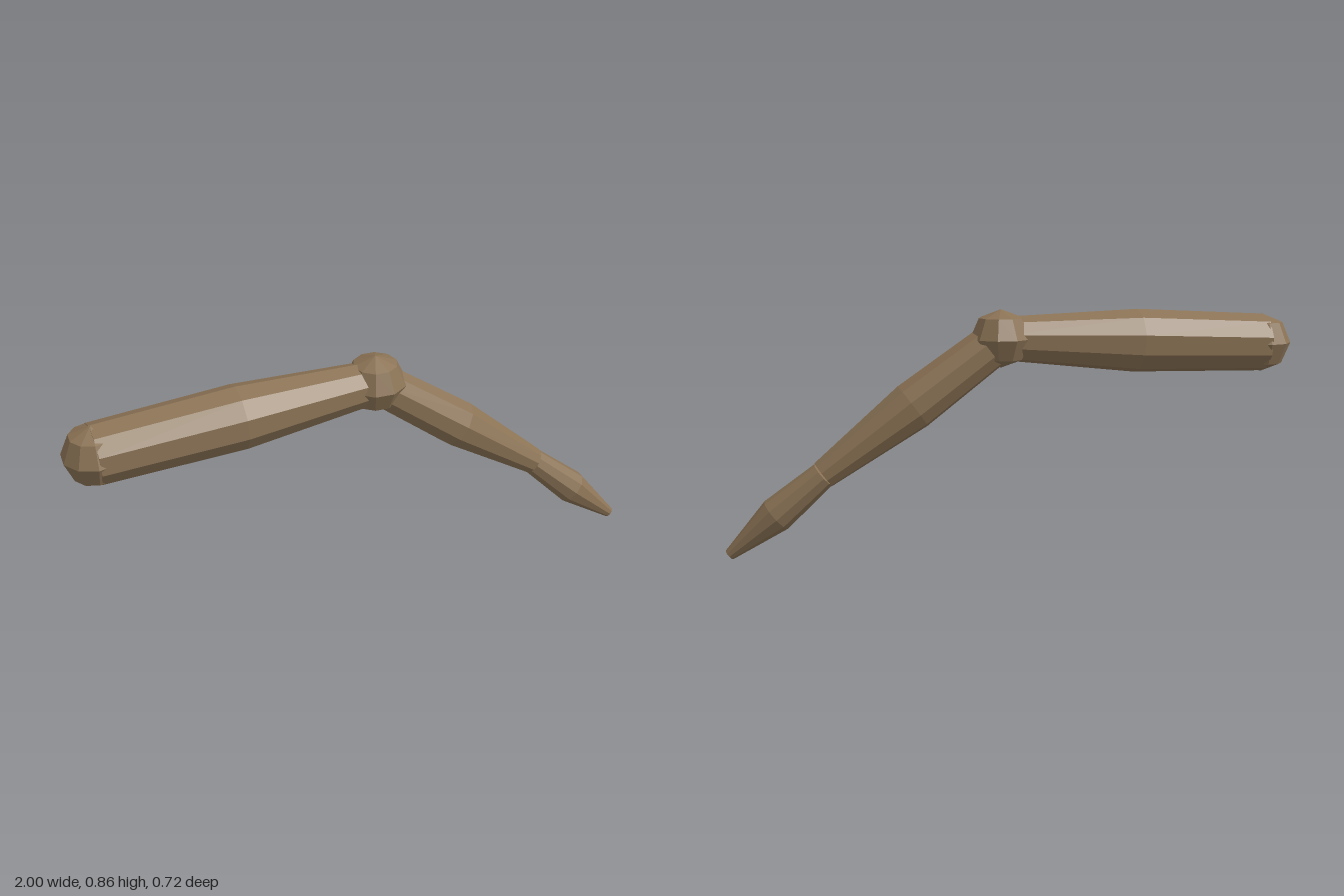
import * as THREE from 'three';

const SIDES = 10;

export function createModel() {
  const group = new THREE.Group();
  const skin = new THREE.MeshStandardMaterial({ color: 0x8b7355, flatShading: true });
  skin.name = 'tan';

  const shoulder = new THREE.Vector3(-0.892, 0.712, -0.256);
  const elbow = new THREE.Vector3(0.09, 0.757, -0.012);
  const wrist = new THREE.Vector3(0.687, 0.297, 0.192);
  const fingertip = new THREE.Vector3(0.98, 0.017, 0.345);

  // Limb from a to b: start, middle and end radii, closed at both ends
  function limb(name, a, b, r0, r1, r2) {
    const length = a.distanceTo(b);
    const profile = [[0, 0], [r0, 0], [r1, length / 2], [r2, length], [0, length]]
      .map(([r, y]) => new THREE.Vector2(r, y));
    const mesh = new THREE.Mesh(new THREE.LatheGeometry(profile, SIDES), skin);
    mesh.name = name;
    mesh.position.copy(a);
    mesh.quaternion.setFromUnitVectors(new THREE.Vector3(0, 1, 0), b.clone().sub(a).normalize());
    group.add(mesh);
  }

  // Faceted ball joint
  function joint(name, centre, rx, ry, turn) {
    const mesh = new THREE.Mesh(new THREE.SphereGeometry(1, SIDES, 4), skin);
    mesh.name = name;
    mesh.position.copy(centre);
    mesh.rotation.y = turn;
    mesh.scale.set(rx, ry, rx);
    group.add(mesh);
  }

  joint('shoulderJoint', shoulder, 0.109, 0.108, 0);
  limb('upperArm', shoulder, elbow, 0.107, 0.115, 0.077);
  joint('elbowJoint', elbow, 0.112, 0.103, Math.PI / 2);
  limb('forearm', elbow, wrist, 0.077, 0.088, 0.051);
  limb('hand', wrist, fingertip, 0.048, 0.063, 0.02);

  return group;
}
